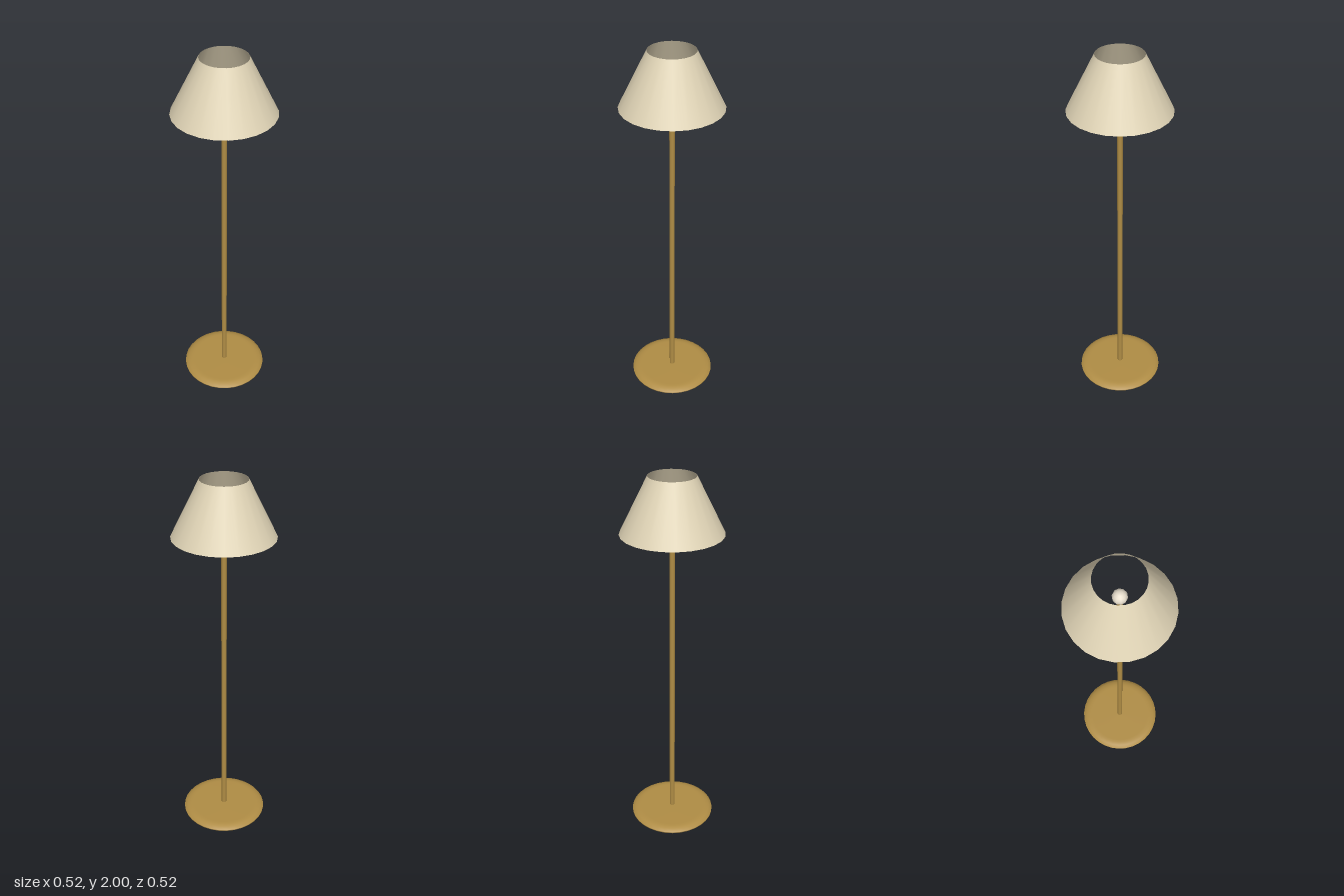
import * as THREE from 'three';

export function createModel() {
  const lamp = new THREE.Group();
  lamp.name = 'floorLamp';

  const material = (name, color, side = THREE.FrontSide) => {
    const m = new THREE.MeshStandardMaterial({ color, side });
    m.name = name;
    return m;
  };
  const brass = material('brass', 0xb08d45);
  const linen = material('linen', 0xe0d4b6, THREE.DoubleSide);
  const glass = material('bulbGlass', 0xf0e6d4);

  const add = (name, geometry, mat, y = 0) => {
    const mesh = new THREE.Mesh(geometry, mat);
    mesh.name = name;
    mesh.position.y = y;
    lamp.add(mesh);
  };

  // Weighted disc with a softened rim
  const profile = [
    [0, 0], [0.215, 0], [0.222, 0.001], [0.234, 0.013], [0.234, 0.019],
    [0.215, 0.031], [0.195, 0.034], [0.18, 0.035], [0, 0.036],
  ].map(([r, y]) => new THREE.Vector2(r, y));
  add('base', new THREE.LatheGeometry(profile, 32), brass);

  // Slim pole from the base up to the bulb
  const bottom = 0.02, top = 1.795;
  add('pole', new THREE.CylinderGeometry(0.0145, 0.0145, top - bottom, 10), brass, (top + bottom) / 2);

  // Bulb inside the shade
  add('bulb', new THREE.SphereGeometry(0.036, 10, 8), glass, 1.828);

  // Open conical shade
  add('shade', new THREE.CylinderGeometry(0.119, 0.262, 0.285, 24, 1, true), linen, 1.8575);

  return lamp;
}
